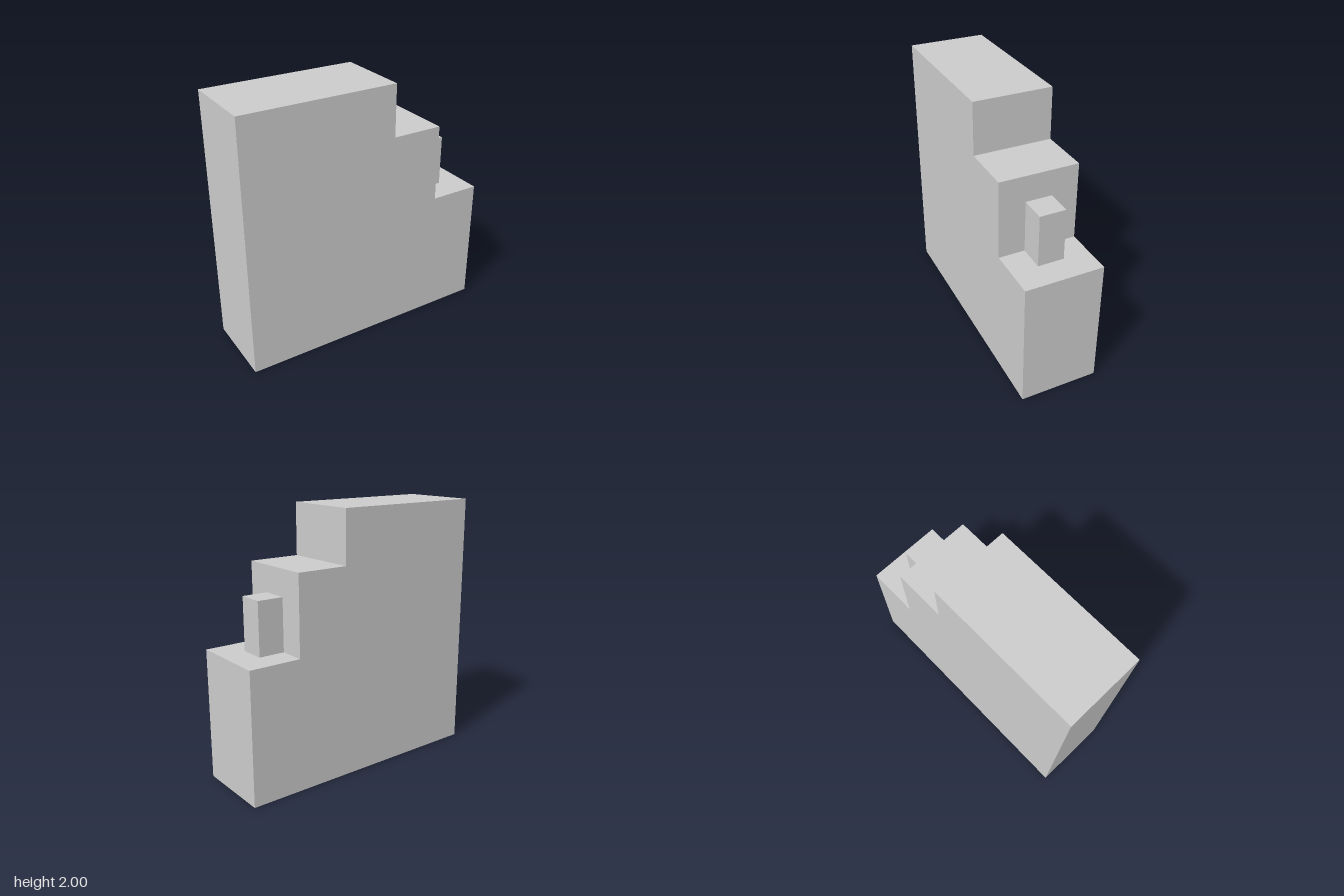
import * as THREE from 'three';

export function createModel() {
  const group = new THREE.Group();
  const material = new THREE.MeshStandardMaterial({ color: 0xcccccc, flatShading: true });

  // Stepped slab: side profile extruded through its depth
  const depth = 0.6;
  const profile = new THREE.Shape([
    [-1, 0], [1, 0], [1, 1], [0.6, 1], [0.6, 1.6], [0.2, 1.6], [0.2, 2], [-1, 2],
  ].map(([x, y]) => new THREE.Vector2(x, y)));
  const bodyGeometry = new THREE.ExtrudeGeometry(profile, { depth, bevelEnabled: false });
  bodyGeometry.translate(0, 0, -depth / 2);
  const body = new THREE.Mesh(bodyGeometry, material);
  body.name = 'steppedBody';
  group.add(body);

  // Small block standing on the lowest step, against the riser
  const block = new THREE.Mesh(new THREE.BoxGeometry(0.2, 0.4, 0.2), material);
  block.position.set(0.7, 1.2, 0);
  block.name = 'stepBlock';
  group.add(block);

  return group;
}
